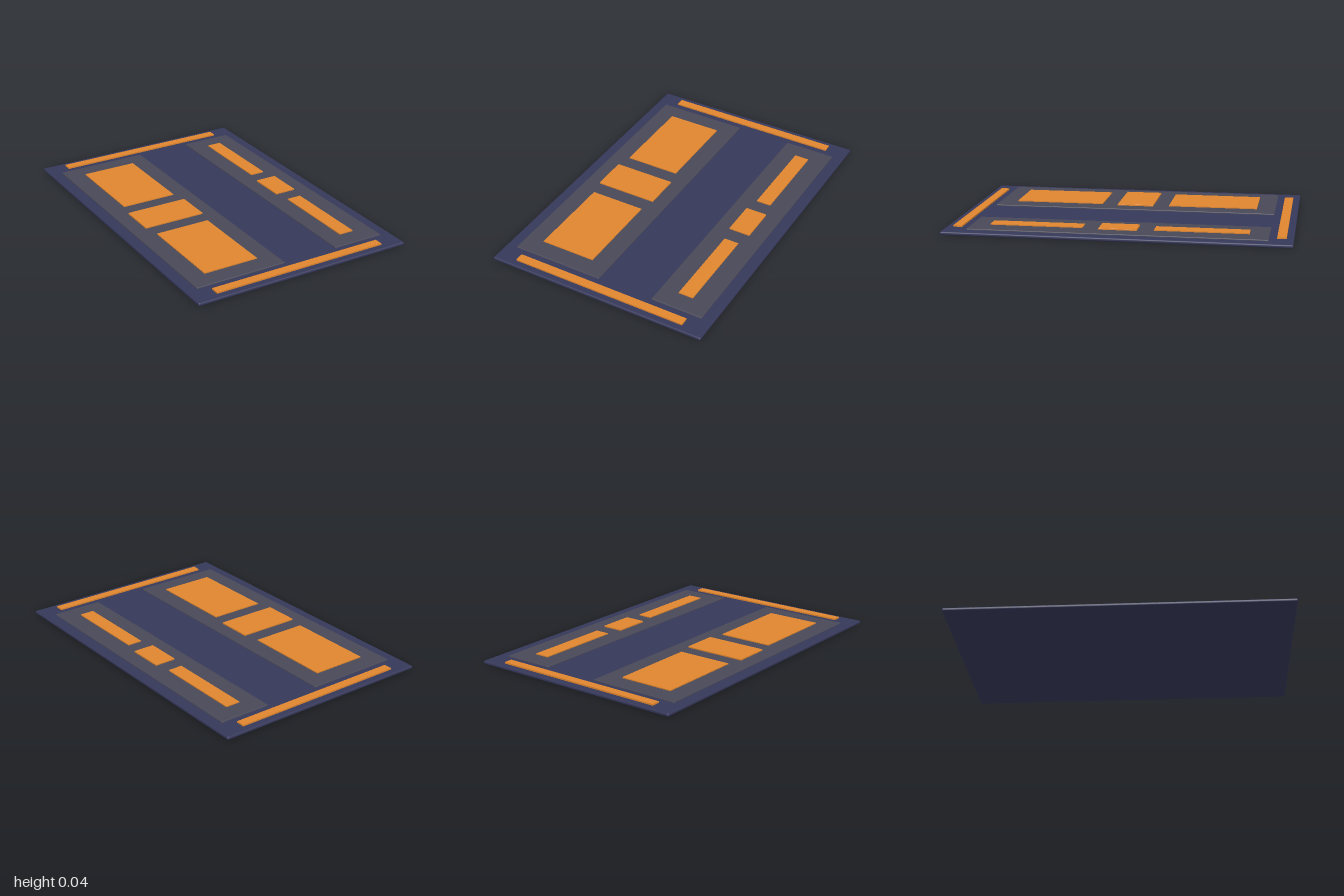
import * as THREE from 'three';
import { RoundedBoxGeometry } from 'three/addons/geometries/RoundedBoxGeometry.js';

const NAVY = new THREE.MeshStandardMaterial({ color: 0x36385a });
const SLATE = new THREE.MeshStandardMaterial({ color: 0x484858 });
const ORANGE = new THREE.MeshStandardMaterial({ color: 0xe0862e });

// Flat slab given by its x, y and z ranges; edges are rounded when radius > 0
function slab(name, material, [x0, x1], [y0, y1], [z0, z1], radius = 0) {
  const size = [x1 - x0, y1 - y0, z1 - z0];
  const geometry = radius > 0
    ? new RoundedBoxGeometry(...size, 3, radius)
    : new THREE.BoxGeometry(...size);
  const mesh = new THREE.Mesh(geometry, material);
  mesh.name = name;
  mesh.position.set((x0 + x1) / 2, (y0 + y1) / 2, (z0 + z1) / 2);
  return mesh;
}

export function createModel() {
  const model = new THREE.Group();
  model.name = 'panelBoard';

  // Base board
  model.add(slab('baseBoard', NAVY, [-0.68, 0.68], [0, 0.02], [-1, 1], 0.008));

  // Raised panels, each with two long inlays and a slightly taller centre inlay
  const columns = [
    { name: 'right', panel: [-0.613, -0.048], long: [-0.5, -0.162], centre: [-0.522, -0.14] },
    { name: 'left', panel: [0.295, 0.613], long: [0.406, 0.496], centre: [0.386, 0.518] },
  ];
  for (const { name, panel, long, centre } of columns) {
    const column = new THREE.Group();
    column.name = `${name}Column`;
    column.add(
      slab(`${name}Panel`, SLATE, panel, [0.012, 0.028], [-0.863, 0.863], 0.005),
      slab(`${name}BackInlay`, ORANGE, long, [0.022, 0.034], [-0.75, -0.208]),
      slab(`${name}FrontInlay`, ORANGE, long, [0.022, 0.034], [0.208, 0.75]),
      slab(`${name}CentreInlay`, ORANGE, centre, [0.022, 0.037], [-0.111, 0.111], 0.002),
    );
    model.add(column);
  }

  // Edge strips at the two short ends
  model.add(
    slab('backStrip', ORANGE, [-0.545, 0.545], [0.014, 0.029], [-0.959, -0.906]),
    slab('frontStrip', ORANGE, [-0.545, 0.545], [0.014, 0.029], [0.906, 0.959]),
  );
  return model;
}
